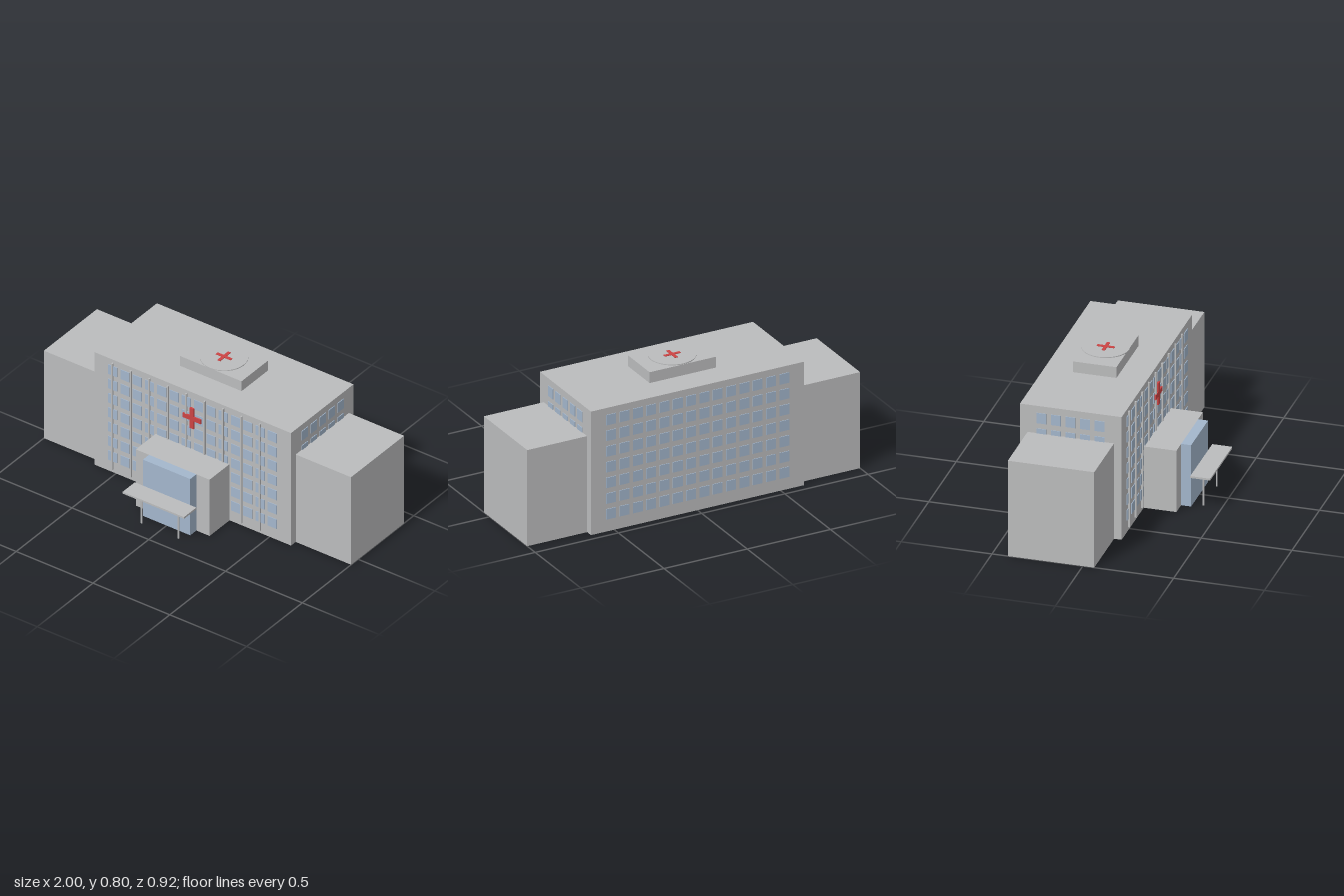
import * as THREE from 'three';

export function createModel() {
  const model = new THREE.Group();
  model.name = 'hospital';

  const material = (name, color) => {
    const m = new THREE.MeshStandardMaterial({ color });
    m.name = name;
    return m;
  };
  const concrete = material('concrete grey', 0xbbbcbd);
  const glass = material('glass blue', 0xa3b6cc);
  const red = material('signal red', 0xcc4444);

  const group = (name) => {
    const g = new THREE.Group();
    g.name = name;
    model.add(g);
    return g;
  };
  // Box given by its size and centre
  const box = (parent, name, mat, w, h, d, x, y, z) => {
    const mesh = new THREE.Mesh(new THREE.BoxGeometry(w, h, d), mat);
    mesh.name = name;
    mesh.position.set(x, y, z);
    parent.add(mesh);
    return mesh;
  };

  const midZ = -0.175;
  const frontZ = 0.105;
  const backZ = -0.455;

  // Main block and side wings
  box(model, 'mainBlock', concrete, 1.28, 0.72, 0.56, 0, 0.36, midZ);
  for (const s of [-1, 1]) {
    box(model, s > 0 ? 'leftWing' : 'rightWing', concrete, 0.36, 0.56, 0.476, s * 0.82, 0.28, midZ);
  }

  // Entrance hall with its glazed front
  box(model, 'entranceHall', concrete, 0.48, 0.36, 0.18, 0, 0.18, 0.195);
  box(model, 'entranceGlass', glass, 0.308, 0.36, 0.055, 0, 0.18, 0.3125);

  // Entrance canopy on two slim columns
  box(model, 'canopy', concrete, 0.4, 0.011, 0.11, 0, 0.196, 0.404);
  for (const s of [-1, 1]) {
    const column = new THREE.Mesh(new THREE.CylinderGeometry(0.005, 0.005, 0.176, 8), concrete);
    column.name = 'canopyColumn';
    column.position.set(s * 0.12, 0.088, 0.398);
    model.add(column);
  }

  // Window grids on the front and back
  const rowY = (row) => 0.101 + row * 0.0915;
  const frontWindows = group('frontWindows');
  const backWindows = group('backWindows');
  for (let row = 0; row < 7; row++) {
    for (let col = 0; col < 14; col++) {
      const x = -0.52 + col * 0.08;
      box(frontWindows, 'window', glass, 0.058, 0.06, 0.008, x, rowY(row), frontZ);
      box(backWindows, 'window', glass, 0.058, 0.06, 0.008, x, rowY(row), backZ);
    }
  }

  // Side windows above the wings
  for (const s of [-1, 1]) {
    const sideWindows = group(s > 0 ? 'leftWindows' : 'rightWindows');
    for (let row = 5; row < 7; row++) {
      for (let col = 0; col < 5; col++) {
        box(sideWindows, 'window', glass, 0.008, 0.06, 0.053, s * 0.64, rowY(row), -0.016 - col * 0.08);
      }
    }
  }

  // Vertical fins across the front
  const fins = group('facadeFins');
  for (let i = 0; i < 9; i++) {
    box(fins, 'fin', concrete, 0.01, 0.68, 0.01, -0.52 + i * 0.12, 0.36, 0.11);
  }

  // Red cross on the front
  const frontCross = group('frontCross');
  box(frontCross, 'upright', red, 0.027, 0.128, 0.011, 0, 0.561, 0.112);
  box(frontCross, 'crossbar', red, 0.118, 0.027, 0.0105, 0, 0.561, 0.112);

  // Roof house with helipad and its marking
  box(model, 'roofHouse', concrete, 0.4, 0.063, 0.238, 0, 0.7515, -0.176);
  const pad = new THREE.Mesh(new THREE.CylinderGeometry(0.128, 0.128, 0.005, 32), concrete);
  pad.name = 'helipad';
  pad.position.set(0, 0.791, -0.176);
  model.add(pad);
  const padCross = group('helipadCross');
  box(padCross, 'lengthBar', red, 0.018, 0.004, 0.096, 0, 0.795, -0.176);
  box(padCross, 'crossbar', red, 0.096, 0.0036, 0.018, 0, 0.795, -0.176);

  return model;
}
